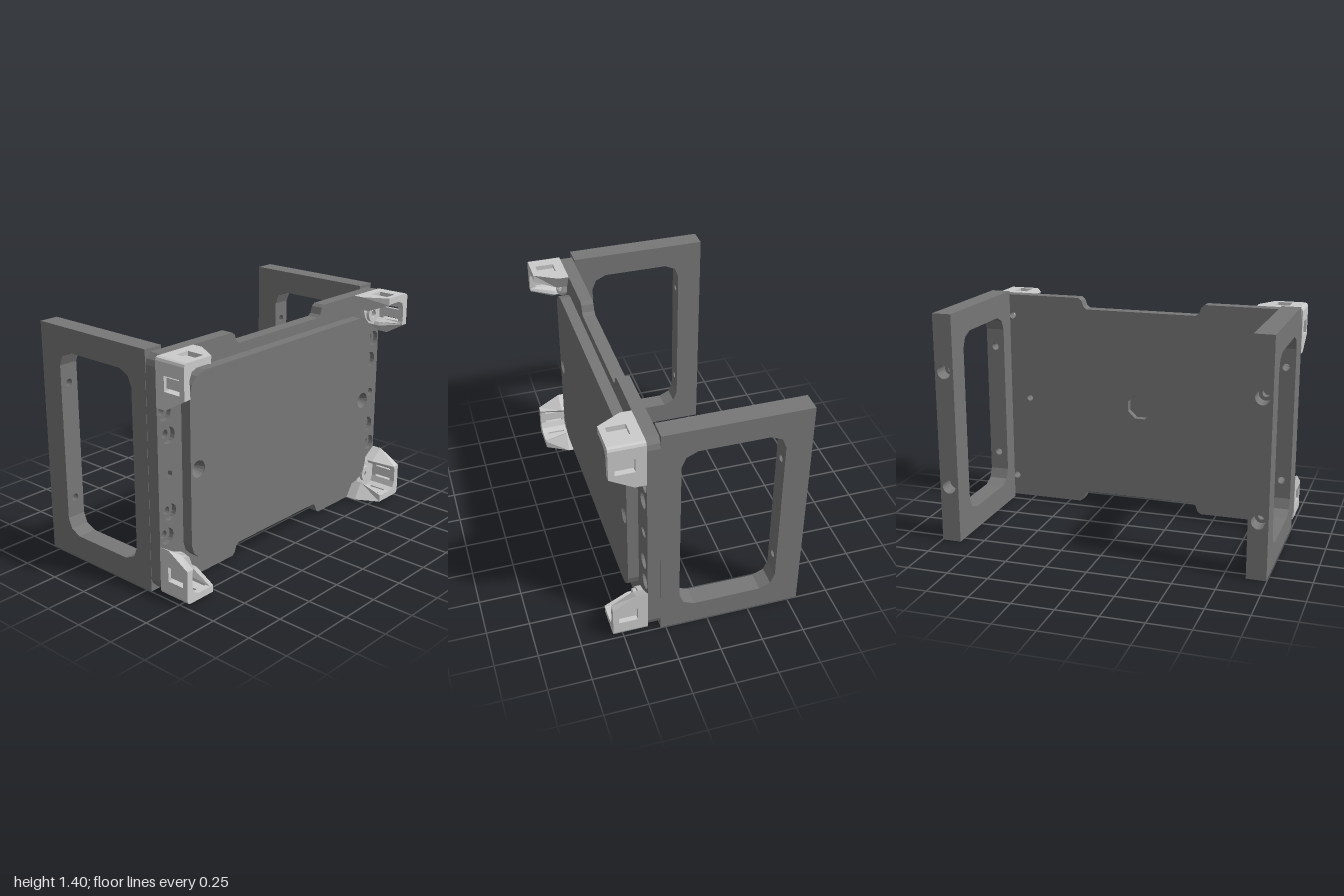
import * as THREE from 'three';

const dark = new THREE.MeshStandardMaterial({ color: 0x777777, flatShading: true });
const darkOpen = new THREE.MeshStandardMaterial({ color: 0x777777, flatShading: true, side: THREE.DoubleSide });
const light = new THREE.MeshStandardMaterial({ color: 0xcccccc, flatShading: true });

const vec = (pts) => pts.map(([x, y]) => new THREE.Vector2(x, y));

function polygon(x, y, r, sides = 16, stretch = 1) {
  const pts = [];
  for (let i = 0; i < sides; i++) {
    const a = ((i + 0.5) / sides) * Math.PI * 2;
    pts.push([x + Math.cos(a) * r * stretch, y + Math.sin(a) * r]);
  }
  return pts;
}

const rect = (x0, y0, x1, y1) => [[x0, y0], [x1, y0], [x1, y1], [x0, y1]];

// Outline with holes, extruded from z0 to z1
function slab(name, outline, holes, z0, z1, material) {
  const shape = new THREE.Shape(vec(outline));
  holes.forEach((h) => shape.holes.push(new THREE.Path(vec(h))));
  const geo = new THREE.ExtrudeGeometry(shape, { depth: z1 - z0, bevelEnabled: false });
  geo.translate(0, 0, z0);
  const mesh = new THREE.Mesh(geo, material);
  mesh.name = name;
  return mesh;
}

// Solid through matching cross-sections [z, points]
function loft(name, sections, material) {
  if (THREE.ShapeUtils.area(vec(sections[0][1])) < 0) {
    sections = sections.map(([z, p]) => [z, [...p].reverse()]);
  }
  const n = sections[0][1].length;
  const pos = [];
  const idx = [];
  sections.forEach(([z, p]) => p.forEach(([x, y]) => pos.push(x, y, z)));
  for (let s = 0; s < sections.length - 1; s++) {
    for (let i = 0; i < n; i++) {
      const a = s * n + i, b = s * n + (i + 1) % n;
      idx.push(a, b, b + n, a, b + n, a + n);
    }
  }
  const last = (sections.length - 1) * n;
  THREE.ShapeUtils.triangulateShape(vec(sections[0][1]), []).forEach(([a, b, c]) => idx.push(a, c, b));
  THREE.ShapeUtils.triangulateShape(vec(sections[sections.length - 1][1]), [])
    .forEach(([a, b, c]) => idx.push(last + a, last + b, last + c));
  const geo = new THREE.BufferGeometry();
  geo.setAttribute('position', new THREE.Float32BufferAttribute(pos, 3));
  geo.setIndex(idx);
  const flat = geo.toNonIndexed();
  flat.computeVertexNormals();
  const mesh = new THREE.Mesh(flat, material);
  mesh.name = name;
  return mesh;
}

// Repeats a quarter outline (from the top middle to the right middle) round y = 0.7
function fourfold(q) {
  const m = (sx, sy) => q.map(([x, y]) => [sx * x, 0.7 + sy * y]);
  return [...m(1, 1), ...m(1, -1).reverse(), ...m(-1, -1), ...m(-1, 1).reverse()];
}

function makePlate() {
  const plate = new THREE.Group();
  plate.name = 'mountingPlate';
  const outline = fourfold([[0.355, 0.61], [0.375, 0.625], [0.39, 0.665], [0.41, 0.68], [0.955, 0.68], [0.985, 0.65], [0.995, 0.62]]);
  const bores = [];
  const small = [];
  const corner = [];
  for (const s of [-1, 1]) {
    for (const [x, y] of [[0.94, 1.06], [0.915, 0.925], [0.915, 0.48], [0.94, 0.345]]) {
      bores.push(polygon(s * x, y, 0.048));
      small.push(polygon(s * x, y, 0.024));
    }
    for (const y of [0.155, 1.245]) corner.push(polygon(s * 0.862, y, 0.022));
    corner.push(polygon(s * 0.755, 0.7, 0.02));
  }
  const pins = [polygon(-0.915, 0.7, 0.025, 6), polygon(0.92, 0.7, 0.025, 16, 1.5)];
  const pocket = polygon(0, 0.7, 0.085, 8);
  plate.add(slab('plateBack', outline, [...small, ...corner, pocket], 0.28, 0.325, dark));
  plate.add(slab('plateFront', outline, [...bores, ...corner, ...pins], 0.325, 0.355, dark));

  // Raised panel with countersunk screw holes
  const panel = fourfold([[0.7, 0.55], [0.76, 0.53], [0.8, 0.49], [0.815, 0.44]]);
  plate.add(slab('raisedPanel', panel, [-1, 1].map((s) => polygon(s * 0.755, 0.7, 0.05)), 0.355, 0.42, dark));
  for (const s of [-1, 1]) {
    const cone = new THREE.Mesh(new THREE.CylinderGeometry(0.052, 0.02, 0.064, 16, 1, true), darkOpen);
    cone.rotation.x = Math.PI / 2;
    cone.position.set(s * 0.755, 0.7, 0.388);
    cone.name = 'countersink';
    plate.add(cone);
  }
  return plate;
}

function makeFrame(s) {
  const frame = new THREE.Group();
  frame.name = s > 0 ? 'leftSideFrame' : 'rightSideFrame';
  const bar = rect(s * 0.88, 0, s * 0.997, 1.4);
  const holes = (r) => [0.345, 1.055].map((y) => polygon(s * 0.94, y, r));
  // Upright bars drilled front to back
  frame.add(slab('frontUpright', bar, holes(0.022), 0.17, 0.28, dark));
  frame.add(slab('rearUprightInner', bar, holes(0.022), -0.46, -0.41, dark));
  frame.add(slab('rearUprightOuter', bar, holes(0.042), -0.56, -0.46, dark));
  // Rails with chamfered window corners
  const rail = [[0.17, 0.7], [0.17, 0.47], [0.145, 0.53], [0.08, 0.56], [-0.32, 0.56], [-0.385, 0.53], [-0.41, 0.47], [-0.41, 0.7]];
  for (const up of [1, -1]) {
    const pts = rail.slice(1, -1).concat([[-0.41, 0.7], [0.17, 0.7]]).map(([z, y]) => [-z, 0.7 + up * y]);
    const mesh = slab(up > 0 ? 'topRail' : 'bottomRail', pts, [], 0, 0.117, dark);
    mesh.rotation.y = Math.PI / 2;
    mesh.position.x = s > 0 ? 0.88 : -0.997;
    frame.add(mesh);
  }
  return frame;
}

// Corner foot; a and b run inward from the outer corner
function makeFoot(sx, sy) {
  const foot = new THREE.Group();
  foot.name = 'cornerFoot';
  const at = (pts) => pts.map(([a, b]) => [sx * (0.997 - a), 0.7 + sy * (0.68 - b)]);
  const hole = (r) => at(polygon(0.135, 0.135, r));

  const base = [[0.02, 0], [0.28, 0], [0.215, 0.1], [0.195, 0.155], [0.155, 0.195], [0.1, 0.215], [0, 0.28], [0, 0.02]];
  foot.add(slab('footFloor', at(base), [hole(0.024)], 0.355, 0.385, light));
  foot.add(slab('screwBoss', hole(0.05), [hole(0.024)], 0.385, 0.405, light));

  const elbow = [[0.02, 0], [0.092, 0], [0.092, 0.04], [0.055, 0.055], [0.04, 0.092], [0, 0.092], [0, 0.02], [0.006, 0.006]];
  foot.add(slab('footCorner', at(elbow), [], 0.355, 0.56, light));

  // Both arms: tapered end, window surround and tongue
  for (const swap of [false, true]) {
    const arm = (pts) => at(swap ? pts.map(([a, b]) => [b, a]) : pts);
    const low = arm([[0.178, 0], [0.28, 0], [0.215, 0.1], [0.195, 0.09], [0.178, 0.05]]);
    const high = arm([[0.178, 0], [0.2, 0], [0.198, 0.045], [0.19, 0.045], [0.178, 0.04]]);
    foot.add(loft('footWedge', [[0.355, low], [0.42, low], [0.56, high]], light));
    foot.add(slab('windowSill', arm(rect(0.09, 0, 0.18, 0.04)), [], 0.355, 0.415, light));
    foot.add(slab('windowHead', arm(rect(0.09, 0, 0.18, 0.04)), [], 0.525, 0.56, light));
    foot.add(slab('windowTongue', arm(rect(0.106, 0.02, 0.164, 0.04)), [], 0.415, 0.525, light));
  }
  return foot;
}

export function createModel() {
  const model = new THREE.Group();
  model.name = 'mountingBracket';
  model.add(makePlate());
  for (const sx of [-1, 1]) {
    model.add(makeFrame(sx));
    for (const sy of [-1, 1]) model.add(makeFoot(sx, sy));
  }
  return model;
}
